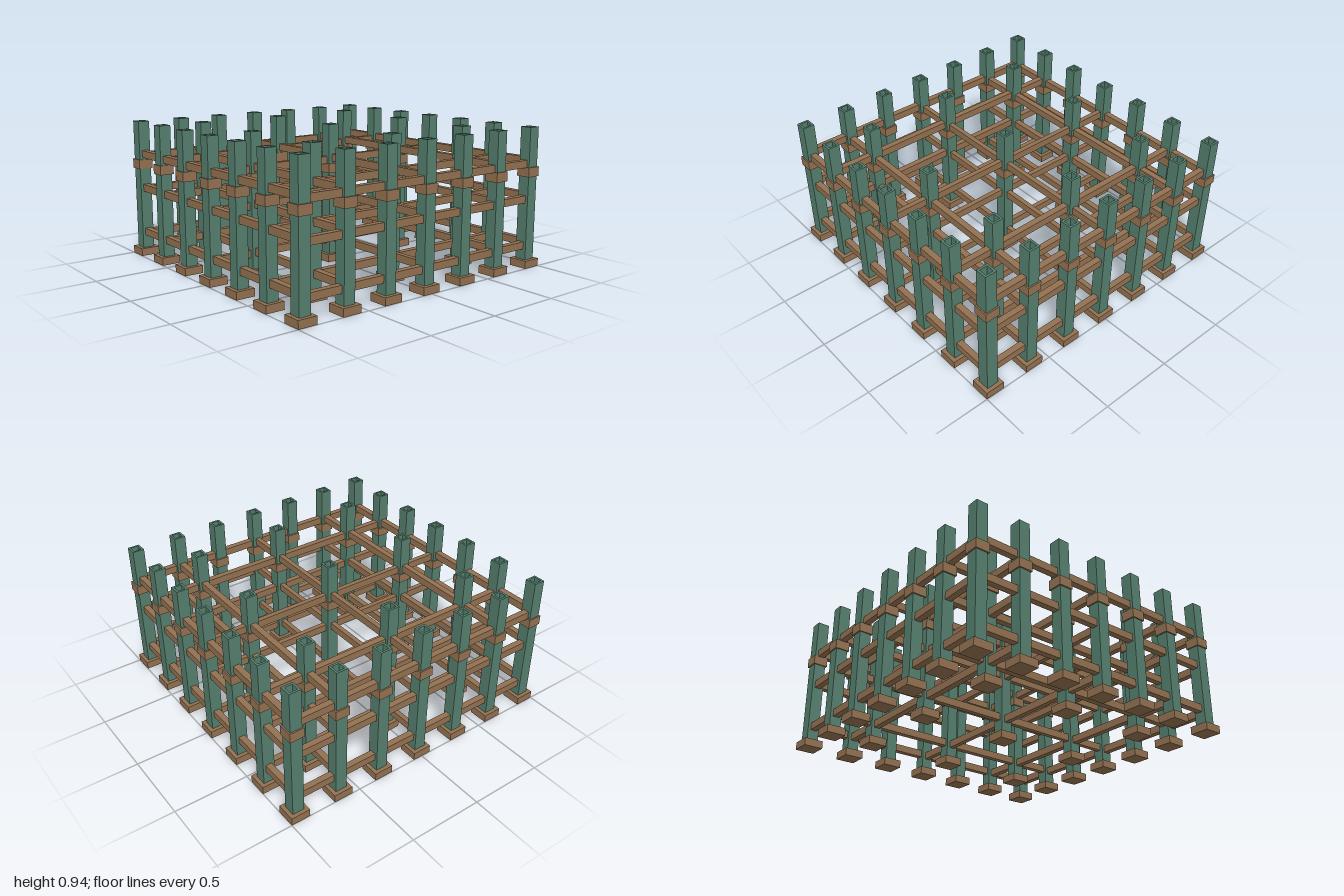
import * as THREE from 'three';

const green = new THREE.MeshStandardMaterial({ color: 0x557f6e });
green.name = 'weathered green';
const brown = new THREE.MeshStandardMaterial({ color: 0x937151 });
brown.name = 'timber brown';

const STEP = 0.3115; // post spacing
const EDGE = 3;      // grid index of the outer rows

// Upright square tube, open at both ends, standing on y = 0
function squareTube(outer, inner, height) {
  const square = (Type, s) => {
    const h = s / 2;
    return new Type([[-h, -h], [h, -h], [h, h], [-h, h]].map(([x, y]) => new THREE.Vector2(x, y)));
  };
  const shape = square(THREE.Shape, outer);
  shape.holes.push(square(THREE.Path, inner));
  return new THREE.ExtrudeGeometry(shape, { depth: height, bevelEnabled: false }).rotateX(-Math.PI / 2);
}

export function createModel() {
  const model = new THREE.Group();
  model.name = 'postFrame';

  const add = (name, geometry, material, x, y, z, parent = model) => {
    const mesh = new THREE.Mesh(geometry, material);
    mesh.name = name;
    mesh.position.set(x, y, z);
    parent.add(mesh);
  };

  // Posts: the full outer ring, plus a three by three grid inside
  const footGeo = new THREE.BoxGeometry(0.13, 0.052, 0.13);
  const postGeo = squareTube(0.08, 0.052, 0.895);
  const collarGeo = squareTube(0.098, 0.079, 0.064);
  const inner = [-2, 0, 2];
  for (let i = -EDGE; i <= EDGE; i++) {
    for (let k = -EDGE; k <= EDGE; k++) {
      const outer = Math.abs(i) === EDGE || Math.abs(k) === EDGE;
      if (!outer && !(inner.includes(i) && inner.includes(k))) continue;
      const post = new THREE.Group();
      post.name = outer ? 'outerPost' : 'innerPost';
      post.position.set(i * STEP, 0, k * STEP);
      add('foot', footGeo, brown, 0, 0.026, 0, post);
      add('shaft', postGeo, green, 0, 0.05, 0, post);
      add('collar', collarGeo, brown, 0, 0.616, 0, post);
      model.add(post);
    }
  }

  // Rails: three levels in both directions, the lengthwise ones slightly higher
  const length = 2 * EDGE * STEP + 0.03;
  for (const level of [0.149, 0.464, 0.702]) {
    for (const row of [-EDGE, ...inner, EDGE]) {
      const width = row === 0 ? 0.034 : 0.042;
      const height = 0.05;
      add('crossRail', new THREE.BoxGeometry(length, height, width), brown, 0, level, row * STEP);
      add('lengthRail', new THREE.BoxGeometry(width, height, length), brown, row * STEP, level + 0.017, 0);
    }
  }
  return model;
}
